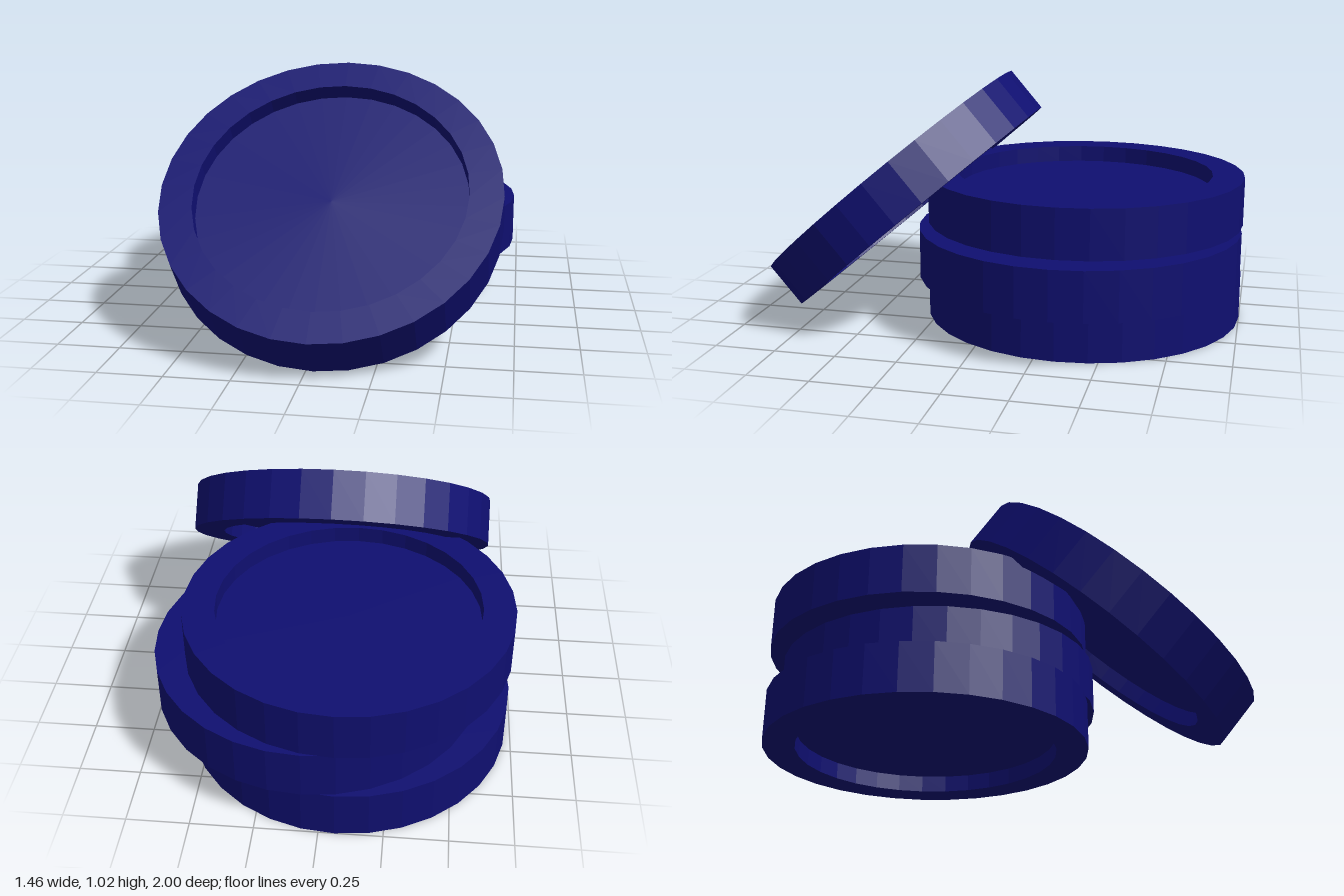
import * as THREE from 'three';

const RADIUS = 0.668, INNER = 0.537, HALF = 0.101, WEB = 0.031;

export function createModel() {
  const model = new THREE.Group();
  model.name = 'discStack';

  const navy = new THREE.MeshStandardMaterial({ color: 0x0f0f70, flatShading: true });
  navy.name = 'navy blue';

  // Disc section: raised rim with a shallow recess on both faces
  const profile = [
    [0, -WEB], [INNER, -WEB], [INNER, -HALF], [RADIUS, -HALF],
    [RADIUS, HALF], [INNER, HALF], [INNER, WEB], [0, WEB],
  ].map(([x, y]) => new THREE.Vector2(x, y));
  const discGeometry = new THREE.LatheGeometry(profile, 32);

  function addDisc(name, x, y, z, tilt = 0) {
    const disc = new THREE.Mesh(discGeometry, navy);
    disc.name = name;
    disc.position.set(x, y, z);
    disc.rotation.x = tilt;
    model.add(disc);
  }

  // Three stacked discs, alternately shifted sideways
  ['bottomDisc', 'middleDisc', 'topDisc'].forEach((name, i) => {
    addDisc(name, i === 1 ? 0.062 : -0.063, HALF * (2 * i + 1), -0.332);
  });

  // Disc leaning against the front of the stack
  addDisc('leaningDisc', 0.027, 0.513, 0.43, 0.709);

  return model;
}
